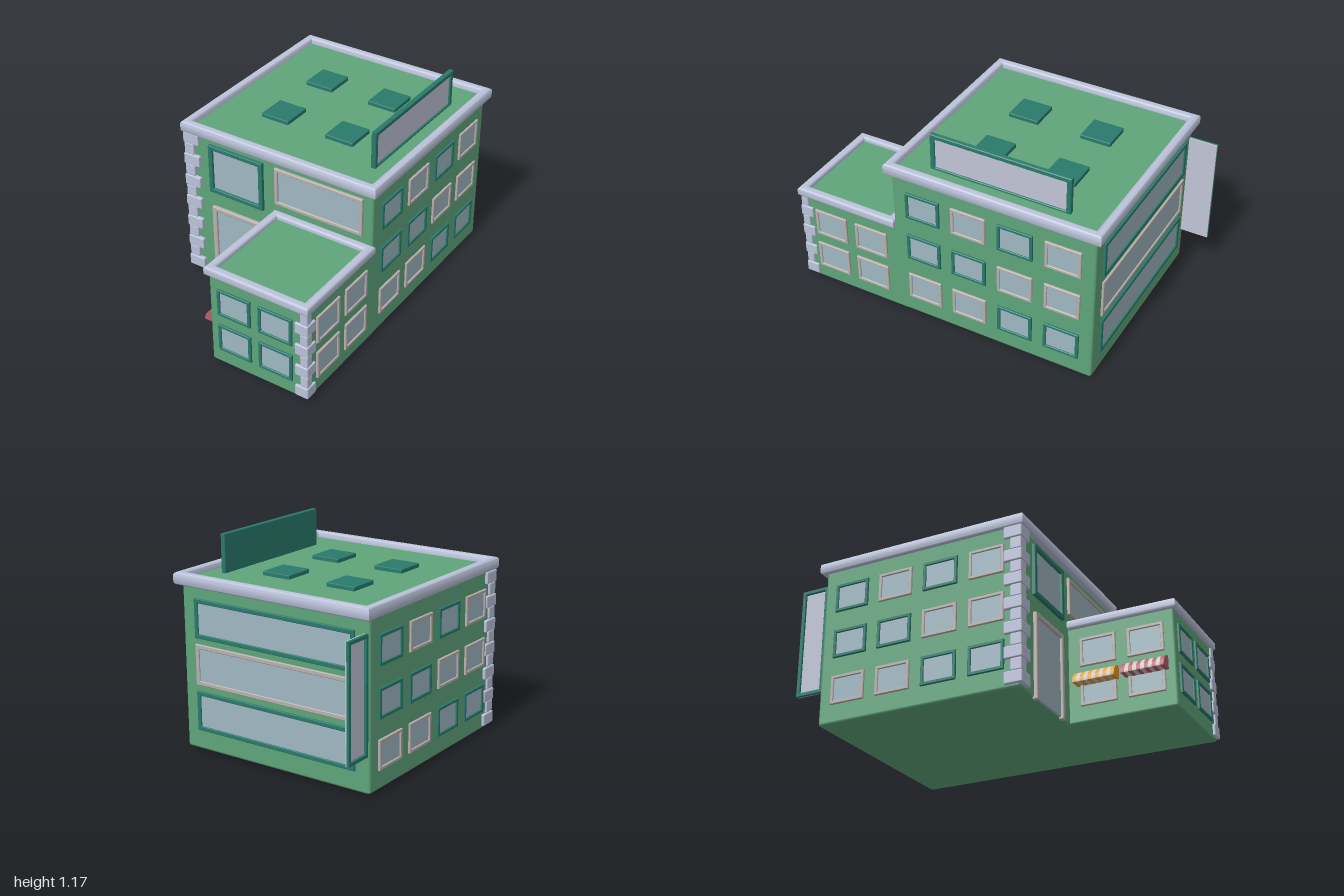
import * as THREE from 'three';
import { toCreasedNormals } from 'three/addons/utils/BufferGeometryUtils.js';
import { RoundedBoxGeometry } from 'three/addons/geometries/RoundedBoxGeometry.js';

const paint = (color) => new THREE.MeshStandardMaterial({ color });
const GREEN = paint(0x5fa57b), TEAL = paint(0x2a7a6c), STONE = paint(0xbcc3da);
const GREY = paint(0xb8b0ae), GLASS = paint(0x9fb7c2), PANEL = paint(0xc0c4d6);
const AMBER = paint(0xe0a038), ROSE = paint(0xb8606e), CREAM = paint(0xcfc8c0);

function add(parent, name, geometry, material, x = 0, y = 0, z = 0) {
  const mesh = new THREE.Mesh(geometry, material);
  mesh.name = name;
  mesh.position.set(x, y, z);
  parent.add(mesh);
  return mesh;
}

// Rounded box given by its lower and upper corners
function block(parent, name, [x0, y0, z0], [x1, y1, z1], material, radius = 0.008) {
  const geometry = new RoundedBoxGeometry(x1 - x0, y1 - y0, z1 - z0, 2, radius);
  return add(parent, name, geometry, material, (x0 + x1) / 2, (y0 + y1) / 2, (z0 + z1) / 2);
}

// Rectangular ring in the xy plane with bevelled edges, from z = 0 to z = depth
function ring(w, h, border, depth, bevel, segments = 1) {
  const rect = (Type, a, b) => new Type([
    new THREE.Vector2(-a, -b), new THREE.Vector2(a, -b), new THREE.Vector2(a, b), new THREE.Vector2(-a, b),
  ]);
  const shape = rect(THREE.Shape, w / 2 - bevel, h / 2 - bevel);
  shape.holes.push(rect(THREE.Path, w / 2 - border + bevel, h / 2 - border + bevel));
  const geometry = new THREE.ExtrudeGeometry(shape, {
    depth: depth - 2 * bevel, bevelThickness: bevel, bevelSize: bevel, bevelSegments: segments,
  });
  geometry.translate(0, 0, bevel);
  return toCreasedNormals(geometry, 0.7);
}

// Framed pane on a wall whose outside faces local +z
function pane(wall, name, [x0, x1], [y0, y1], material, border = 0.018, depth = 0.02) {
  const group = new THREE.Group();
  group.name = name;
  group.position.set((x0 + x1) / 2, (y0 + y1) / 2, 0);
  const w = x1 - x0, h = y1 - y0;
  add(group, 'frame', ring(w, h, border, depth, 0.003), material, 0, 0, -0.008);
  add(group, 'glass', new THREE.BoxGeometry(w - border, h - border, 0.012), GLASS, 0, 0, -0.002);
  wall.add(group);
}

function makeWall(parent, name, x, z, turn) {
  const wall = new THREE.Group();
  wall.name = name;
  wall.position.set(x, 0, z);
  wall.rotation.y = turn;
  parent.add(wall);
  return wall;
}

// Flat stone ring around a roof
function parapet(parent, name, [x0, x1], [z0, z1], [y0, y1], border, bevel) {
  const geometry = ring(x1 - x0, z1 - z0, border, y1 - y0, bevel, 4);
  geometry.rotateX(-Math.PI / 2);
  add(parent, name, geometry, STONE, (x0 + x1) / 2, y0, (z0 + z1) / 2);
}

// Alternating long and short corner stones; side gives the direction of the outer x face
function quoins(parent, name, x, z, side, y0, y1, pitch, long, short) {
  for (let i = 0, y = y0; y < y1 - 0.02; i++, y += pitch) {
    const size = i % 2 ? short : long;
    const out = x - side * (i % 2 ? 0.004 : 0);
    const inner = x - side * size;
    block(parent, name, [Math.min(out, inner), y, z - size], [Math.max(out, inner), Math.min(y + pitch, y1), z - (i % 2 ? 0.004 : 0)], STONE, 0.007);
  }
}

// Striped quarter-round awning
function awning(parent, z0, z1, color) {
  const r = 0.075, stripes = 11, step = (z1 - z0) / stripes;
  const shape = new THREE.Shape();
  shape.moveTo(0, 0);
  shape.lineTo(0, r);
  shape.absarc(0, 0, r, Math.PI / 2, Math.PI, false);
  shape.lineTo(0, 0);
  const geometry = toCreasedNormals(new THREE.ExtrudeGeometry(shape, { depth: step, bevelEnabled: false, curveSegments: 10 }), 0.6);
  for (let i = 0; i < stripes; i++) {
    add(parent, 'awningStripe', geometry, i % 2 ? CREAM : color, -0.01, 0.225, z0 + i * step);
  }
}

export function createModel() {
  const model = new THREE.Group();
  model.name = 'building';

  // Main block and front annex
  block(model, 'mainBlock', [-0.608, 0.017, -0.835], [0.592, 0.965, 0.37], GREEN, 0.015);
  block(model, 'annex', [-0.012, 0.017, 0.3], [0.592, 0.598, 0.98], GREEN, 0.012);
  parapet(model, 'mainParapet', [-0.627, 0.622], [-0.87, 0.403], [0.93, 1.0], 0.05, 0.018);
  parapet(model, 'annexParapet', [-0.03, 0.61], [0.365, 1.0], [0.57, 0.625], 0.048, 0.015);
  quoins(model, 'mainQuoin', -0.624, 0.392, -1, 0.035, 0.935, 0.069, 0.105, 0.069);
  quoins(model, 'annexQuoin', 0.604, 0.994, 1, 0.033, 0.575, 0.0675, 0.08, 0.05);

  // Front wall: door and two big windows
  const front = makeWall(model, 'frontWall', 0, 0.37, 0);
  pane(front, 'topLeftWindow', [-0.455, -0.095], [0.595, 0.895], TEAL, 0.026, 0.028);
  pane(front, 'topRightWindow', [-0.018, 0.535], [0.668, 0.895], GREY, 0.021, 0.024);
  block(front, 'door', [-0.43, 0.02, -0.01], [-0.12, 0.485, 0.006], GLASS, 0.003);
  for (const x of [-0.445, -0.135]) block(front, 'doorJamb', [x, 0.005, -0.01], [x + 0.03, 0.49, 0.02], GREY);
  block(front, 'doorLintel', [-0.445, 0.472, -0.01], [-0.105, 0.5, 0.02], GREY);

  // Side walls: three rows of four windows with mixed frames
  const rows = [
    [[0.125, 0.29], [GREY, GREY, TEAL, TEAL]],
    [[0.398, 0.562], [TEAL, TEAL, GREY, GREY]],
    [[0.675, 0.84], [TEAL, GREY, TEAL, GREY]],
  ];
  const sides = [
    [makeWall(model, 'leftWall', 0.592, 0, Math.PI / 2), -0.183],
    [makeWall(model, 'rightWall', -0.608, 0, -Math.PI / 2), -0.655],
  ];
  for (const [wall, start] of sides) {
    for (const [heights, frames] of rows) {
      frames.forEach((frame, i) => {
        const x = start + i * 0.279;
        pane(wall, 'sideWindow', [x - 0.104, x + 0.104], heights, frame);
      });
    }
  }

  // Back wall: three long windows
  const back = makeWall(model, 'backWall', -0.008, -0.835, Math.PI);
  [[0.13, 0.353], [0.388, 0.616], [0.65, 0.868]].forEach((heights, i) => {
    pane(back, 'longWindow', [-0.515, 0.515], heights, i === 1 ? GREY : TEAL, 0.024);
  });

  // Annex windows, two by two on each free wall
  const annexWalls = [
    [makeWall(model, 'annexFront', 0, 0.98, 0), [0.04, 0.297], TEAL],
    [makeWall(model, 'annexLeft', 0.592, 0, Math.PI / 2), [-0.897, -0.632], GREY],
    [makeWall(model, 'annexRight', -0.012, 0, -Math.PI / 2), [0.44, 0.715], GREY],
  ];
  for (const [wall, starts, frame] of annexWalls) {
    for (const x of starts) {
      for (const y of [0.108, 0.337]) pane(wall, 'annexWindow', [x, x + 0.208], [y, y + 0.167], frame);
    }
  }
  awning(model, 0.42, 0.66, AMBER);
  awning(model, 0.697, 0.94, ROSE);

  // Roof lights
  for (const x of [-0.23, 0.187]) {
    for (const z of [-0.46, -0.02]) {
      block(model, 'skylight', [x - 0.088, 0.95, z - 0.09], [x + 0.088, 0.988, z + 0.09], TEAL, 0.005);
    }
  }

  // Billboard on the roof, facing +x
  const board = makeWall(model, 'billboard', 0.462, -0.223, Math.PI / 2);
  block(board, 'backing', [-0.412, 0.95, 0], [0.412, 1.18, 0.012], TEAL, 0.005);
  add(board, 'frame', ring(0.824, 0.23, 0.027, 0.022, 0.004), TEAL, 0, 1.065, 0.006);
  add(board, 'panel', new THREE.BoxGeometry(0.78, 0.19, 0.008), PANEL, 0, 1.065, 0.014);

  // Blade sign on the back corner, framed towards -x
  const sign = makeWall(model, 'bladeSign', -0.577, -0.914, -Math.PI / 2);
  add(sign, 'panel', new THREE.BoxGeometry(0.17, 0.64, 0.008), PANEL, 0, 0.54, 0.004);
  add(sign, 'frame', ring(0.172, 0.642, 0.022, 0.016, 0.003), TEAL, 0, 0.54, 0.006);

  return model;
}
